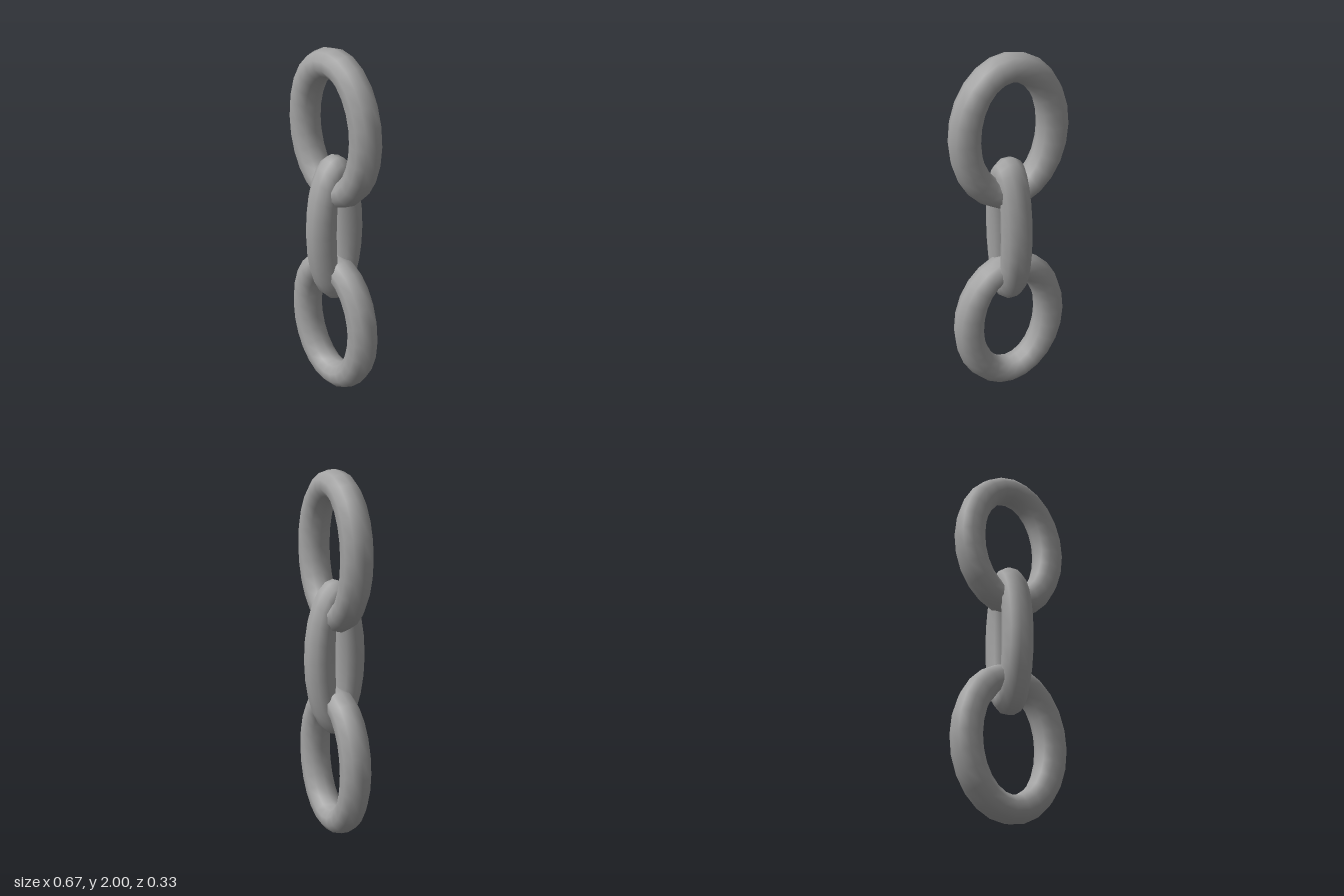
import * as THREE from 'three';
import { mergeVertices } from 'three/addons/utils/BufferGeometryUtils.js';

const TUBE = 0.0845; // tube radius

// Oval ring: a, b are half width and height of the centre line, ry the tube
// thickness at the ends, phase turns the ten-sided cross-section.
function linkGeometry(a, b, ry, phase) {
  let g = new THREE.TorusGeometry(2, 1, 10, 24);
  g.deleteAttribute('uv');
  g.deleteAttribute('normal');
  const p = g.attributes.position;
  for (let i = 0; i < p.count; i++) {
    const u = Math.atan2(p.getY(i), p.getX(i));
    const v = Math.atan2(p.getZ(i), Math.hypot(p.getX(i), p.getY(i)) - 2) + phase;
    p.setXYZ(i,
      (a + TUBE * Math.cos(v)) * Math.cos(u),
      (b + ry * Math.cos(v)) * Math.sin(u),
      TUBE * Math.sin(v));
  }
  g = mergeVertices(g, 1e-5);
  g.computeVertexNormals(); // smooth all round, without a seam
  return g;
}

export function createModel() {
  const group = new THREE.Group();
  const steel = new THREE.MeshStandardMaterial({ color: 0xa3a3a3 });
  steel.name = 'steelGrey';

  const add = (name, geometry, y, turn) => {
    const mesh = new THREE.Mesh(geometry, steel);
    mesh.name = name;
    mesh.position.y = y;
    mesh.rotation.y = turn;
    group.add(mesh);
  };

  // Wide links facing the front
  const wide = linkGeometry(0.249, 0.35, 0.075, 0);
  add('topLink', wide, 1.575, 0);
  add('bottomLink', wide, 0.425, 0);

  // Narrow link turned sideways through both
  add('middleLink', linkGeometry(0.087, 0.347, 0.082, Math.PI / 10), 1.003, Math.PI / 2);
  return group;
}
